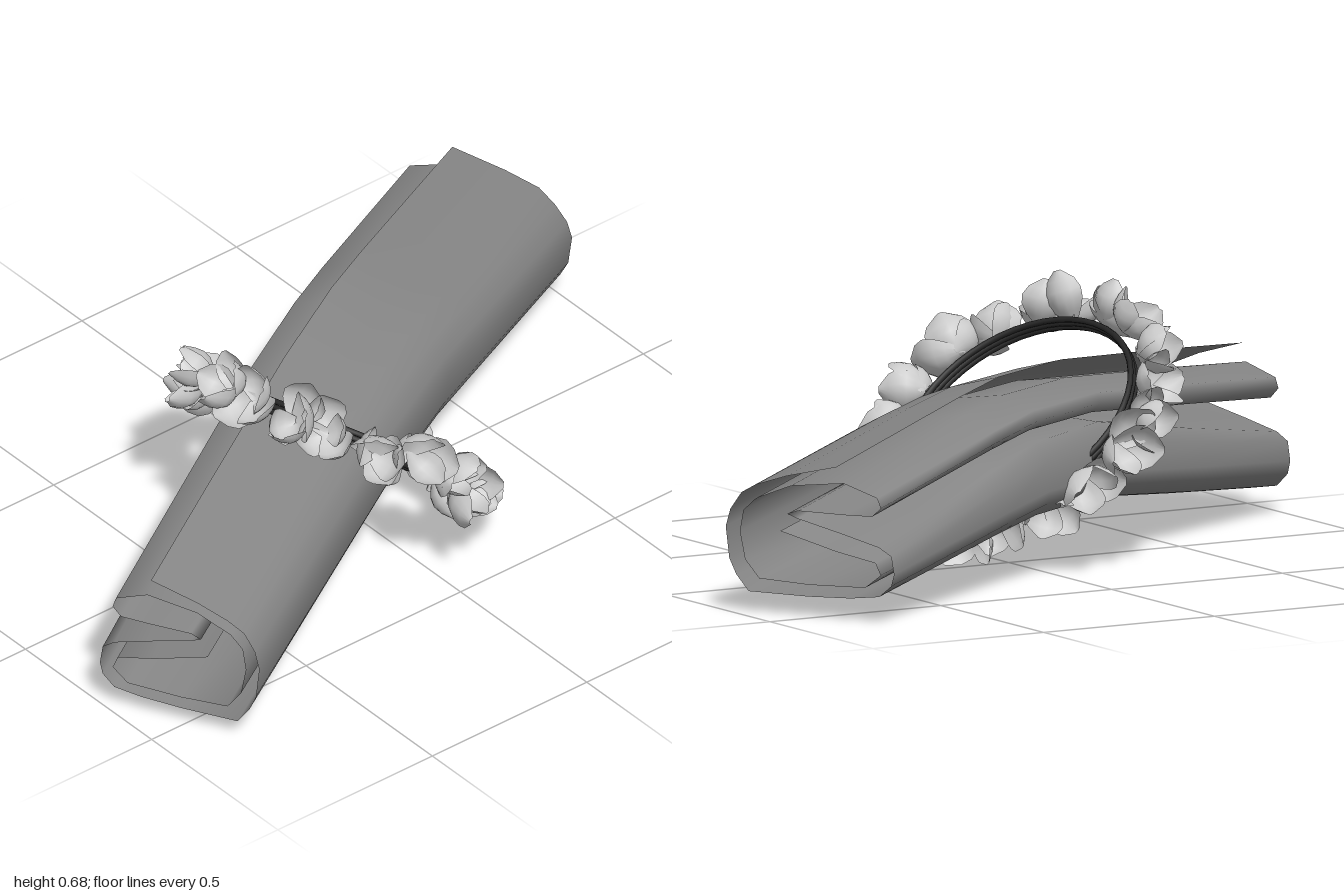
import * as THREE from 'three';

const paint = (color) => new THREE.MeshStandardMaterial({ color, side: THREE.DoubleSide });
const cloth = paint(0x868686), petalGrey = paint(0xcccccc), cordDark = paint(0x262626);

// small seeded generator for the petal scatter
function seeded(seed) {
  return () => {
    seed = (seed * 16807) % 2147483647;
    return seed / 2147483647;
  };
}

// grid surface from rows of equally many points
function sheetGeometry(rows) {
  const n = rows[0].length, pos = [], idx = [];
  rows.forEach((row, i) => row.forEach((p, j) => {
    pos.push(...p);
    if (i && j) {
      const a = (i - 1) * n + j - 1, b = a + 1, c = i * n + j - 1, d = c + 1;
      idx.push(a, b, c, b, d, c);
    }
  }));
  const g = new THREE.BufferGeometry();
  g.setAttribute('position', new THREE.Float32BufferAttribute(pos, 3));
  g.setIndex(idx);
  g.computeVertexNormals();
  return g;
}

// cloth folded across its width and arched along its length
function makeNapkin() {
  // fold profile as [across, height, height where the ring gathers it]
  const fold = [
    // top flap and closed side
    [-0.09, 0.368], [0.05, 0.335], [0.14, 0.305], [0.19, 0.28], [0.222, 0.235], [0.235, 0.19], [0.225, 0.11], [0.205, 0.07], [0.17, 0.03],
    // underside and lower roll
    [0, 0.03], [-0.12, 0.035], [-0.2, 0.045], [-0.235, 0.075], [-0.243, 0.105], [-0.235, 0.15, 0.18],
    [-0.2, 0.17, 0.225], [-0.1, 0.195, 0.23], [0.03, 0.225], [0.06, 0.235], [0.03, 0.245],
    // upper roll
    [-0.1, 0.245], [-0.18, 0.247], [-0.205, 0.27], [-0.195, 0.295], [-0.1, 0.325], [0.05, 0.307], [0.15, 0.267],
    // inner layer
    [0.185, 0.235], [0.195, 0.18], [0.18, 0.11], [0.14, 0.065], [0, 0.06], [-0.16, 0.065], [-0.205, 0.1], [-0.19, 0.13], [-0.08, 0.15], [0.08, 0.19],
  ];
  // stations along the length: [position, lift, width factor, height factor, gather]
  const stations = [
    [-1.03, 0, 0.9, 1.1, 0], [-0.6, 0.045, 0.92, 1.09, 0.4], [-0.12, 0.1, 0.95, 1.05, 1],
    [0.2, 0.096, 0.97, 1.06, 0.9], [0.4, 0.075, 0.99, 1.05, 0.6], [1, 0, 1.02, 1, 0],
  ];
  const rows = stations.map(([x, lift, ws, hs, gather]) => fold.map(([w, y, tight = y], j) => {
    const flap = x === 1 && j < 3 ? 0.02 : 0;
    const h = y + (tight - y) * gather;
    return [x + flap, 0.03 + (h - 0.03) * hs + lift, w * ws];
  }));
  const mesh = new THREE.Mesh(sheetGeometry(rows), cloth);
  mesh.name = 'foldedNapkin';
  mesh.rotation.y = 0.503;
  return mesh;
}

// cupped petal growing along +y, hollow towards +z
function petalGeometry() {
  const rows = [];
  for (let i = 0; i <= 5; i++) {
    const v = i / 5, row = [];
    const half = 0.47 * Math.pow(Math.sin(Math.PI * (0.06 + 0.91 * Math.pow(v, 1.15))), 0.75);
    for (let j = 0; j <= 6; j++) {
      const u = j / 3 - 1;
      row.push([u * half, v, 0.5 * u * u * half - 0.24 * Math.sin(Math.PI * v)]);
    }
    rows.push(row);
  }
  return sheetGeometry(rows);
}

function makeRing() {
  const ring = new THREE.Group();
  ring.name = 'petalRing';

  // bundled cords of the band
  const cord = new THREE.TorusGeometry(0.318, 0.008, 6, 48);
  for (const z of [-0.014, 0, 0.014]) {
    const mesh = new THREE.Mesh(cord, cordDark);
    mesh.name = 'bandCord';
    mesh.position.z = z;
    ring.add(mesh);
  }

  // clusters of cupped petals around the band
  const rand = seeded(4711), petal = petalGeometry();
  const clusters = 20, perCluster = 4;
  for (let i = 0; i < clusters; i++) {
    const cluster = new THREE.Group();
    cluster.name = 'petalCluster';
    const a = (i + 0.3 * (rand() - 0.5)) / clusters * Math.PI * 2;
    cluster.position.set(Math.cos(a) * 0.34, Math.sin(a) * 0.34, (rand() - 0.5) * 0.05);
    // local y points outwards from the band
    cluster.rotation.z = a - Math.PI / 2;
    for (let k = 0; k < perCluster; k++) {
      const mesh = new THREE.Mesh(petal, petalGrey);
      mesh.name = 'petal';
      const size = 0.1 + 0.035 * rand();
      mesh.scale.set(size * (0.85 + 0.25 * rand()), size, size);
      mesh.rotation.order = 'YXZ';
      // turned about the stem, then leaned outwards
      mesh.rotation.y = (k + 0.7 * rand()) / perCluster * Math.PI * 2;
      mesh.rotation.x = -(0.25 + 0.8 * rand());
      mesh.rotation.z = (rand() - 0.5) * 0.5;
      cluster.add(mesh);
    }
    ring.add(cluster);
  }

  // slanted around the napkin
  const axis = new THREE.Vector3(0.85, 1, -0.26).normalize();
  ring.quaternion.setFromUnitVectors(new THREE.Vector3(0, 0, 1), axis);
  ring.position.set(-0.11, 0.318, 0.13);
  return ring;
}

export function createModel() {
  const model = new THREE.Group();
  model.name = 'napkinWithRing';
  model.add(makeNapkin(), makeRing());
  return model;
}
